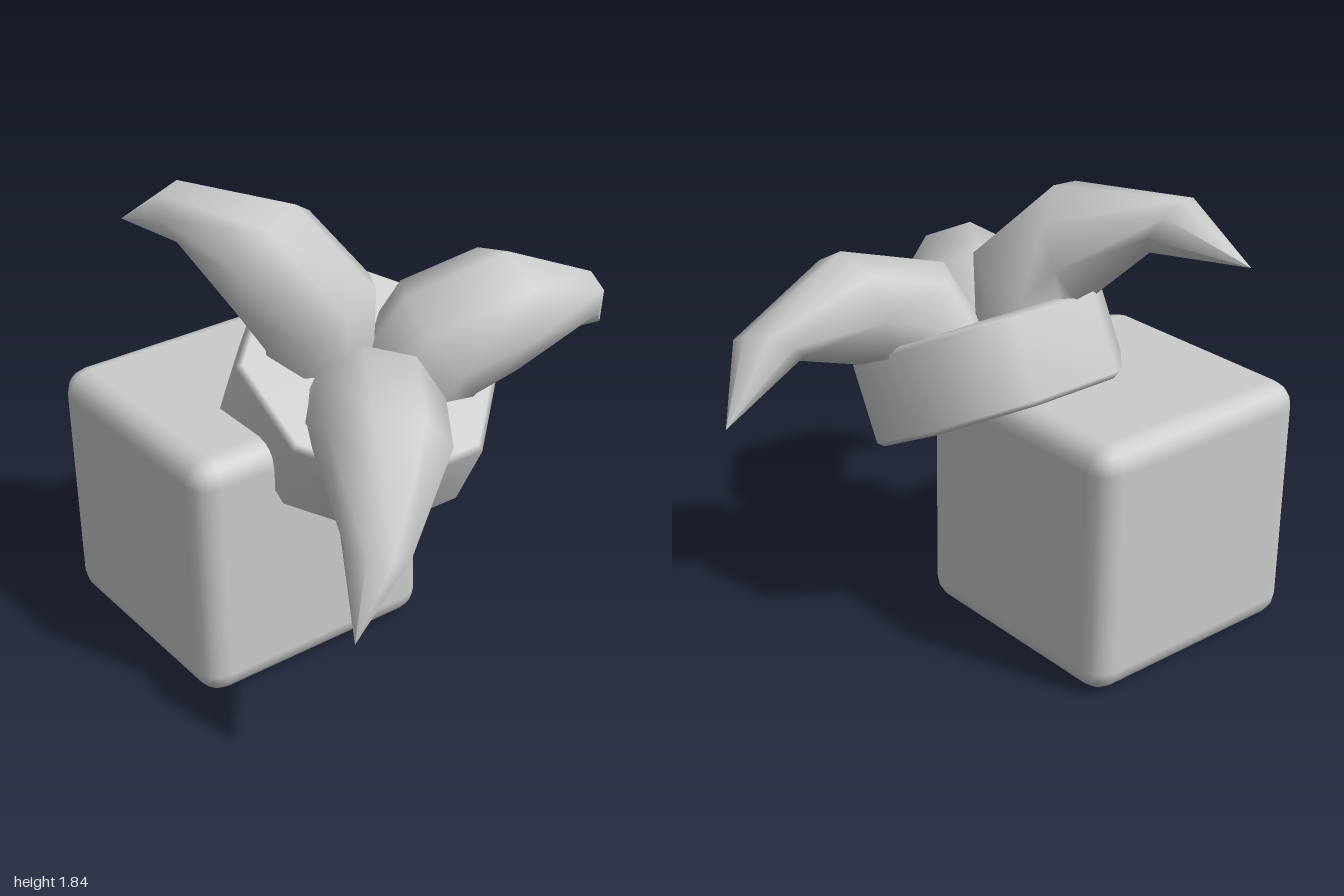
import * as THREE from 'three';
import { RoundedBoxGeometry } from 'three/addons/geometries/RoundedBoxGeometry.js';

const material = new THREE.MeshStandardMaterial({ color: 0xcccccc });

function addMesh(parent, name, geometry) {
  const mesh = new THREE.Mesh(geometry, material);
  mesh.name = name;
  parent.add(mesh);
  return mesh;
}

// Curved claw lofted through eight-sided rings, growing along +x and arching up.
function clawGeometry() {
  const sides = 8;
  // Each ring: upper edge (x, y), lower edge (x, y), half width
  const rings = [
    [0.03, 0.32, 0.38, 0.12, 0.23],
    [0.13, 0.63, 0.43, 0.29, 0.25],
    [0.55, 0.78, 0.50, 0.335, 0.24],
    [1.02, 0.575, 0.81, 0.435, 0.125],
    [1.18, 0.26, 1.18, 0.26, 0],
  ];
  const positions = [];
  const indices = [];
  const flat = 1 / Math.cos(Math.PI / sides); // keeps the flat sides on the given edges
  rings.forEach(([tx, ty, bx, by, halfWidth], i) => {
    for (let j = 0; j < sides; j++) {
      const a = ((j + 0.5) / sides) * Math.PI * 2;
      const c = (Math.cos(a) * flat) / 2;
      positions.push(
        (tx + bx) / 2 + (tx - bx) * c,
        (ty + by) / 2 + (ty - by) * c,
        Math.sin(a) * halfWidth * flat
      );
      if (i === rings.length - 1) continue;
      const p = i * sides + j;
      const q = i * sides + ((j + 1) % sides);
      indices.push(p, q, p + sides);
      if (i < rings.length - 2) indices.push(q, q + sides, p + sides);
    }
  });
  const geometry = new THREE.BufferGeometry();
  geometry.setAttribute('position', new THREE.Float32BufferAttribute(positions, 3));
  geometry.setIndex(indices);
  geometry.computeVertexNormals();
  return geometry;
}

export function createModel() {
  const model = new THREE.Group();
  model.name = 'clawOnBlock';

  // Rounded block
  const block = addMesh(model, 'block', new RoundedBoxGeometry(1.055, 1.06, 1.06, 2, 0.1));
  block.position.set(-0.405, 0.53, 0.47);

  // Tilted head resting on the block's back corner
  const head = new THREE.Group();
  head.name = 'tiltedHead';
  head.position.set(-0.1, 0.89, 0.165);
  head.rotation.z = -0.489;
  model.add(head);

  // Octagonal disc with a small bevel
  const profile = [[0, 0], [0.515, 0], [0.54, 0.02], [0.54, 0.345], [0.515, 0.365], [0, 0.365]];
  addMesh(head, 'disc', new THREE.LatheGeometry(
    profile.map(([r, y]) => new THREE.Vector2(r, y)), 8, Math.PI / 8));

  // Three claws spaced evenly round the disc
  const geometry = clawGeometry();
  for (let i = 0; i < 3; i++) {
    const claw = addMesh(head, 'claw' + (i + 1), geometry);
    claw.rotation.y = -THREE.MathUtils.degToRad(35.4 + 120 * i);
  }
  return model;
}
